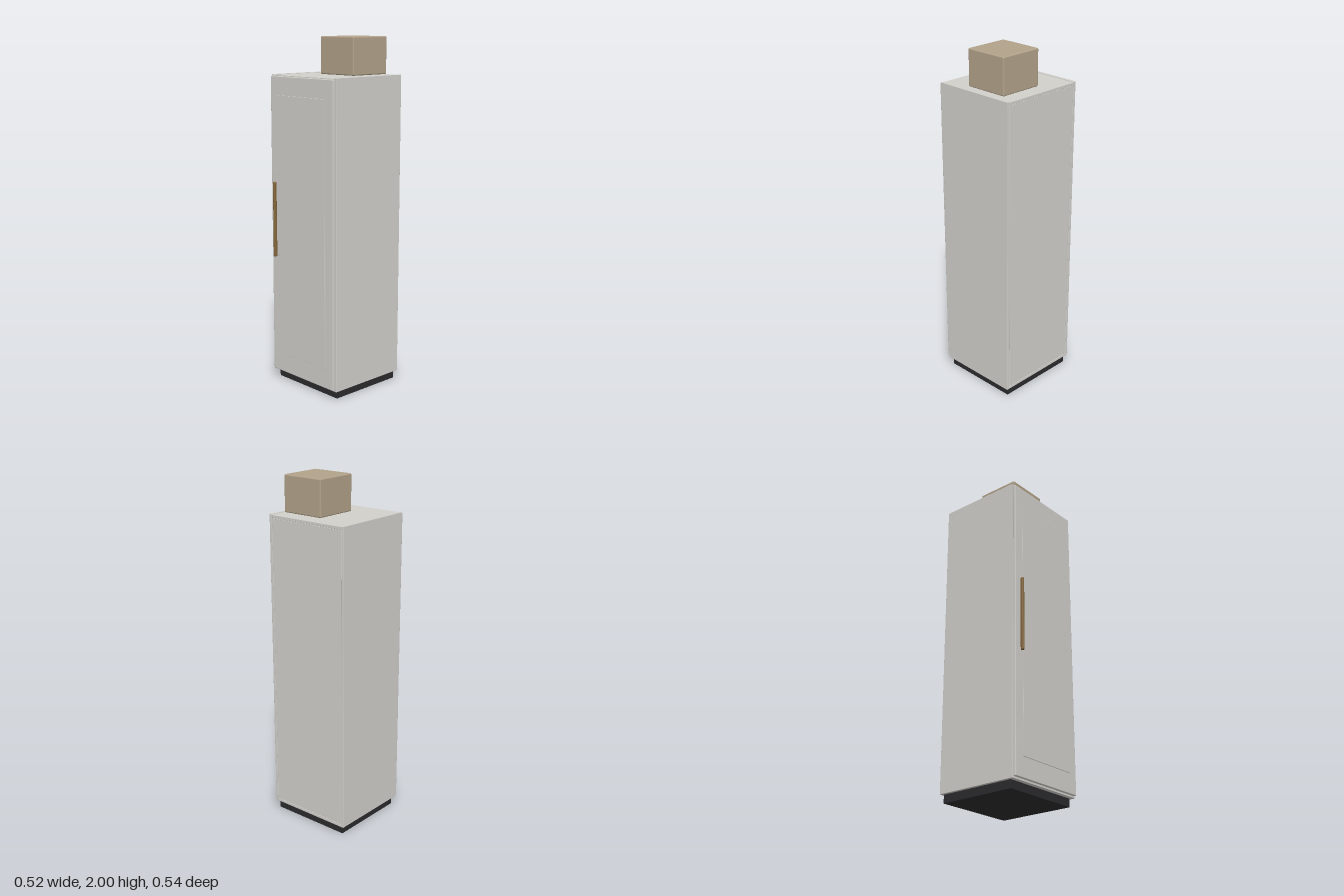
import * as THREE from 'three';
import { RoundedBoxGeometry } from 'three/addons/geometries/RoundedBoxGeometry.js';

const paint = (color) => new THREE.MeshStandardMaterial({ color });

export function createModel() {
  const cabinet = new THREE.Group();
  cabinet.name = 'tallCabinet';
  const body = paint(0xd2d0cb);
  const dark = paint(0x2b2b2e);
  const bronze = paint(0x86683c);
  const tan = paint(0xb2a28a);

  // Rounded board given by its extents on each axis
  function board(name, material, [x0, x1], [y0, y1], [z0, z1], radius = 0.002) {
    const geometry = new RoundedBoxGeometry(x1 - x0, y1 - y0, z1 - z0, 3, radius);
    const mesh = new THREE.Mesh(geometry, material);
    mesh.name = name;
    mesh.position.set((x0 + x1) / 2, (y0 + y1) / 2, (z0 + z1) / 2);
    cabinet.add(mesh);
  }

  // Recessed base
  board('plinth', dark, [-0.245, 0.245], [0, 0.05], [-0.258, 0.205], 0.001);

  // Carcass: two sides, top, bottom and back
  for (const [name, s] of [['leftSide', 1], ['rightSide', -1]]) {
    const inner = s * 0.245, outer = s * 0.262;
    board(name, body, [Math.min(inner, outer), Math.max(inner, outer)], [0.047, 1.79], [-0.272, 0.228]);
  }
  board('topPanel', body, [-0.245, 0.245], [1.77, 1.787], [-0.272, 0.228]);
  board('bottomPanel', body, [-0.245, 0.245], [0.047, 0.064], [-0.272, 0.228]);
  board('backPanel', body, [-0.245, 0.245], [0.064, 1.77], [-0.271, -0.262]);

  // Door with a thin raised field and a bar handle
  board('door', body, [-0.254, 0.254], [0.057, 1.782], [0.228, 0.245], 0.004);
  board('doorField', body, [-0.193, 0.193], [0.17, 1.677], [0.243, 0.249], 0.001);
  board('handle', bronze, [-0.22, -0.204], [0.75, 1.187], [0.249, 0.27], 0.007);

  // Storage box standing on top
  board('storageBox', tan, [-0.043, 0.217], [1.793, 2], [-0.2, 0.06], 0.007);

  return cabinet;
}
